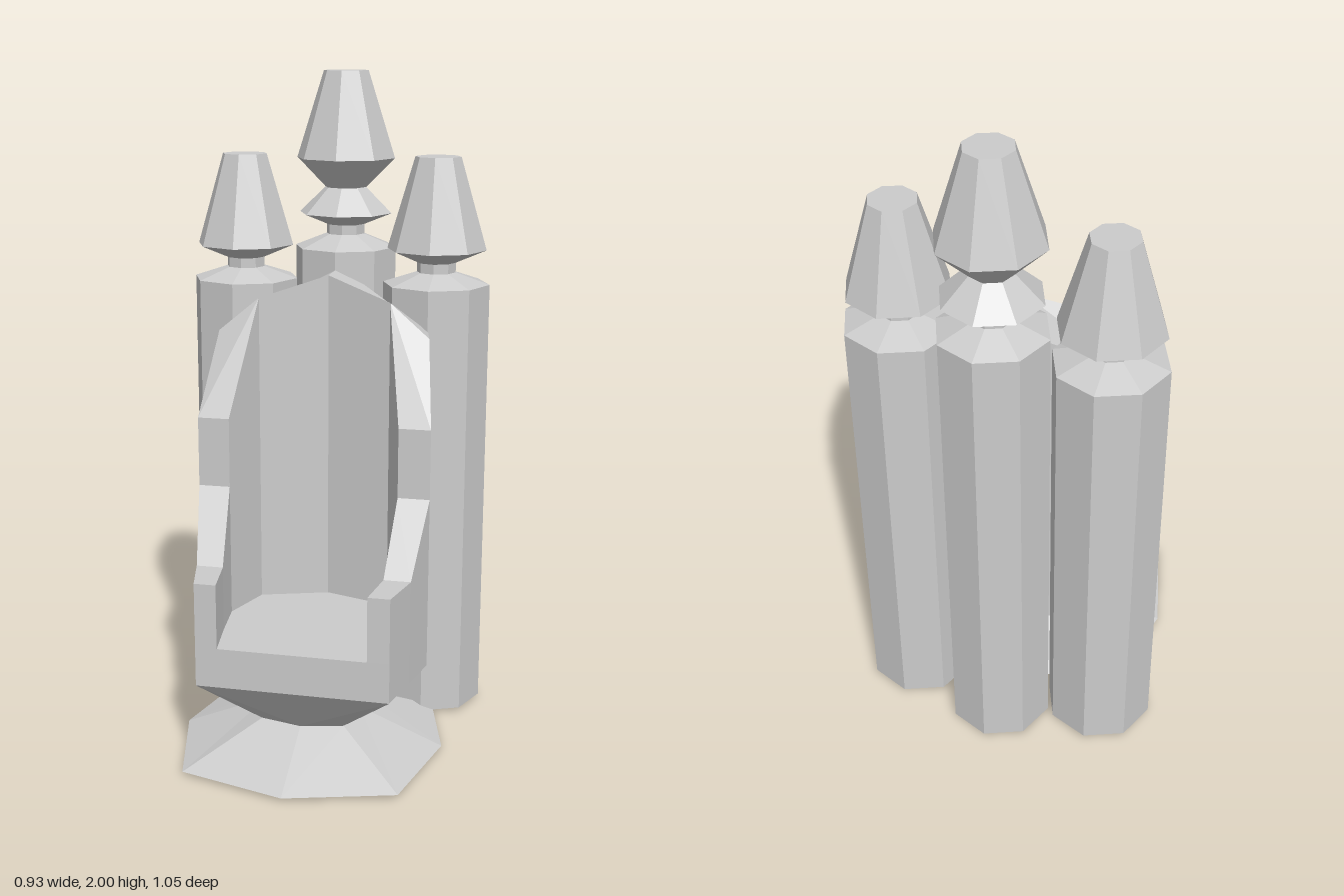
import * as THREE from 'three';

const material = new THREE.MeshStandardMaterial({ color: 0xcccccc, flatShading: true });

// Collects quads for the +x half and mirrors each one to -x
function mirroredMesh(name, build) {
  const pos = [];
  const tri = (...pts) => pts.forEach((p) => pos.push(...p));
  const flip = ([x, y, z]) => [-x, y, z];
  build((a, b, c, d) => {
    tri(a, b, c, a, c, d);
    const [e, f, g, h] = [a, b, c, d].map(flip);
    tri(e, g, f, e, h, g);
  });
  const geo = new THREE.BufferGeometry();
  geo.setAttribute('position', new THREE.Float32BufferAttribute(pos, 3));
  geo.computeVertexNormals();
  const mesh = new THREE.Mesh(geo, material);
  mesh.name = name;
  return mesh;
}

// Wall between two half outlines of [x, z] points running from front to back
function band(quad, low, yLow, high, yHigh) {
  for (let i = 0; i < low.length - 1; i++) {
    const at = (p, y) => [p[0], y, p[1]];
    quad(at(low[i], yLow), at(low[i + 1], yLow), at(high[i + 1], yHigh), at(high[i], yHigh));
  }
}

// Eight-sided turned column with its finial, from a [radius, y] profile
function column(name, profile, x, z) {
  const pts = profile.map(([r, y]) => new THREE.Vector2(r, y));
  const mesh = new THREE.Mesh(new THREE.LatheGeometry(pts, 8), material);
  mesh.name = name;
  mesh.position.set(x, 0, z);
  return mesh;
}

export function createModel() {
  const group = new THREE.Group();
  group.name = 'throne';

  // Half outlines of the foot, the waist and the seat's lower edge
  const foot = [[0, 0.525], [0.32, 0.435], [0.4, 0.11], [0.33, -0.17], [0, -0.28]];
  const waist = [[0, 0.28], [0.125, 0.25], [0.145, 0.11], [0.12, -0.01], [0, -0.045]];
  const rim = [[0, 0.395], [0.285, 0.395], [0.35, 0.11], [0.3, -0.14], [0, -0.28]];

  group.add(mirroredMesh('pedestal', (quad) => {
    band(quad, foot, 0.01, waist, 0.115);
    for (let i = 0; i < foot.length - 1; i++) {
      const [a, b] = [foot[i], foot[i + 1]];
      quad([b[0], 0.01, b[1]], [a[0], 0.01, a[1]], [0, 0.01, a[1]], [0, 0.01, b[1]]);
    }
  }));

  group.add(mirroredMesh('seatUnderside', (quad) => band(quad, waist, 0.115, rim, 0.27)));

  // Arm and backrest stations, front to back: outer x, z, top, inner x, z, top
  const stations = [
    [0.285, 0.395, 0.585, 0.22, 0.395, 0.585],
    [0.32, 0.25, 0.585, 0.24, 0.25, 0.585],
    [0.35, 0.11, 0.79, 0.255, 0.11, 0.79],
    [0.35, 0.11, 1.0, 0.255, 0.11, 1.0],
    [0.32, -0.03, 1.24, 0.2, -0.045, 1.34],
    [0.3, -0.14, 1.24, 0.2, -0.045, 1.34],
    [0, -0.28, 1.405, 0, -0.11, 1.405],
  ].map(([ox, oz, oy, ix, iz, iy]) => ({
    outLow: [ox, 0.27, oz], outTop: [ox, oy, oz],
    inLow: [ix, 0.39, iz], inTop: [ix, iy, iz], mid: [0, 0.39, iz],
  }));

  group.add(mirroredMesh('armsAndBackrest', (quad) => {
    for (let i = 0; i < stations.length - 1; i++) {
      const [a, b] = [stations[i], stations[i + 1]];
      quad(a.outLow, b.outLow, b.outTop, a.outTop);
      quad(b.inLow, a.inLow, a.inTop, b.inTop);
      quad(a.outTop, b.outTop, b.inTop, a.inTop);
    }
    // Arm front
    const s = stations[0];
    quad(s.inLow, [s.outLow[0], 0.39, s.outLow[2]], s.outTop, s.inTop);
  }));

  group.add(mirroredMesh('seat', (quad) => {
    for (let i = 0; i < stations.length - 1; i++) {
      const [a, b] = [stations[i], stations[i + 1]];
      quad(a.inLow, b.inLow, b.mid, a.mid);
    }
    // Front apron
    quad([0, 0.27, 0.395], [0.285, 0.27, 0.395], [0.285, 0.39, 0.395], [0, 0.39, 0.395]);
  }));

  // Columns behind the backrest
  const sideProfile = [[0, 0.01], [0.165, 0.01], [0.165, 1.365], [0.06, 1.4],
    [0.06, 1.43], [0.153, 1.47], [0.07, 1.75], [0, 1.75]];
  const centreProfile = [[0, 0], [0.16, 0], [0.16, 1.46], [0.06, 1.5], [0.06, 1.53],
    [0.146, 1.565], [0.065, 1.645], [0.155, 1.735], [0.07, 2], [0, 2]];
  group.add(column('leftColumn', sideProfile, 0.302, -0.28));
  group.add(column('rightColumn', sideProfile, -0.302, -0.28));
  group.add(column('centreColumn', centreProfile, 0, -0.367));

  return group;
}
